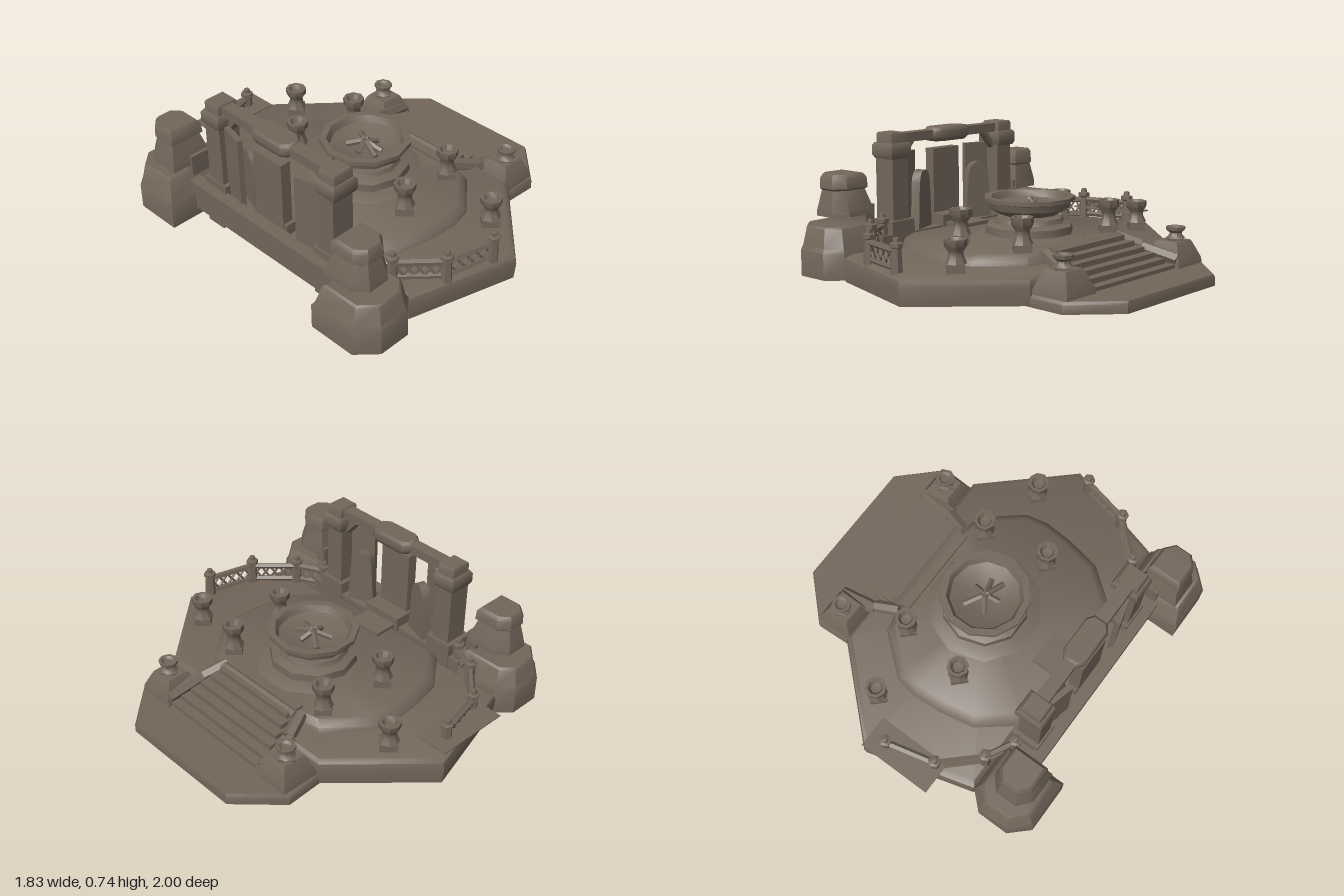
import * as THREE from 'three';
import { toCreasedNormals } from 'three/addons/utils/BufferGeometryUtils.js';

const stone = new THREE.MeshStandardMaterial({ color: 0x73665a });
stone.name = 'brown stone';

export function createModel() {
  const root = new THREE.Group();
  root.name = 'firePlaza';

  function add(name, geo, x = 0, y = 0, z = 0, rx = 0, ry = 0, rz = 0) {
    const m = new THREE.Mesh(toCreasedNormals(geo, 0.7), stone);
    m.name = name;
    m.position.set(x, y, z);
    m.rotation.set(rx, ry, rz);
    root.add(m);
    return m;
  }
  const box = (name, w, h, d, x, y, z, rx, ry, rz) =>
    add(name, new THREE.BoxGeometry(w, h, d), x, y, z, rx, ry, rz);

  // Stacks scaled copies of an [x, z] outline at [height, scale] levels, and caps both ends
  function loft(name, outline, levels) {
    let area = 0;
    outline.forEach(([x, z], i) => {
      const [x2, z2] = outline[(i + 1) % outline.length];
      area += x * z2 - x2 * z;
    });
    const o = area > 0 ? [...outline].reverse() : outline;
    const n = o.length;
    const cx = o.reduce((s, p) => s + p[0], 0) / n;
    const cz = o.reduce((s, p) => s + p[1], 0) / n;
    const pos = [], idx = [];
    for (const [y, s] of levels)
      for (const [x, z] of o) pos.push(cx + (x - cx) * s, y, cz + (z - cz) * s);
    const last = (levels.length - 1) * n, c = levels.length * n;
    pos.push(cx, levels[0][0], cz, cx, levels[levels.length - 1][0], cz);
    for (let i = 0; i < n; i++) {
      const j = (i + 1) % n;
      for (let k = 0; k < last; k += n)
        idx.push(k + i, k + j, k + n + j, k + i, k + n + j, k + n + i);
      idx.push(c, j, i, c + 1, last + i, last + j);
    }
    const g = new THREE.BufferGeometry();
    g.setAttribute('position', new THREE.Float32BufferAttribute(pos, 3));
    g.setIndex(idx);
    return add(name, g);
  }
  // Completes a half outline by mirroring it across z = 0
  const mirrored = half => [...half, ...half.map(([x, z]) => [x, -z]).reverse()];
  const lathe = (pts, sides) =>
    new THREE.LatheGeometry(pts.map(p => new THREE.Vector2(...p)), sides);
  // Bar between two points
  function bar(name, a, b, r, sides = 5) {
    const va = new THREE.Vector3(...a), vb = new THREE.Vector3(...b);
    const dir = vb.clone().sub(va);
    const m = add(name, new THREE.CylinderGeometry(r, r, dir.length(), sides));
    m.position.copy(va).add(vb).multiplyScalar(0.5);
    m.quaternion.setFromUnitVectors(new THREE.Vector3(0, 1, 0), dir.normalize());
  }

  // Terraces
  loft('basePlatform', mirrored([[0.49, 0.58], [0.035, 1], [-0.56, 0.83]]),
    [[0.005, 0.99], [0.1, 1], [0.13, 0.99], [0.147, 0.955]]);
  loft('middleTerrace', mirrored([[0.36, 0.27], [0.33, 0.41], [0.12, 0.585], [0, 0.61], [-0.16, 0.6], [-0.36, 0.56], [-0.56, 0.4]]),
    [[0.14, 1.02], [0.17, 1], [0.2, 0.93]]);
  add('innerTerrace', lathe([[0, 0.15], [0.34, 0.19], [0.27, 0.22], [0, 0.22]], 10), -0.02, 0, 0);
  box('rearSheet', 0.42, 0.006, 0.18, -0.17, 0.205, -0.91);

  // Front landing and stairs
  loft('frontLanding', mirrored([[0.91, 0.37], [0.69, 0.585], [0.4, 0.57]]),
    [[0, 1], [0.045, 1], [0.06, 0.98]]);
  for (let i = 0; i < 6; i++) {
    const h = 0.08 + i * 0.027, end = 0.68 - i * 0.053;
    box('stairStep', end - 0.3, h - 0.01, 0.7 - i * 0.035, (end + 0.3) / 2, (h + 0.01) / 2, 0);
  }

  // Central pedestal and fire bowl
  add('bowlPedestal', lathe([[0, 0.2], [0.24, 0.2], [0.235, 0.26], [0.19, 0.275],
    [0.18, 0.3], [0.12, 0.31], [0.12, 0.34], [0, 0.34]], 10), -0.02, 0, 0);
  add('fireBowl', lathe([[0, 0.315], [0.15, 0.315], [0.215, 0.35], [0.225, 0.385], [0.245, 0.39], [0.245, 0.412],
    [0.208, 0.412], [0.19, 0.375], [0.11, 0.348], [0, 0.34]], 11), -0.02, 0, 0);
  [0.2, 1.3, 1.9, 2.9, 4.1, 5.3].forEach((a, i) => {
    const r = 0.08 + 0.02 * (i % 3);
    bar('log', [-0.02 + Math.cos(a) * r, 0.355, Math.sin(a) * r],
      [-0.02 - Math.cos(a) * 0.02, 0.395, -Math.sin(a) * 0.02], 0.016);
  });

  // Small bowl on a waisted stand with a diamond-set foot
  function brazier(x, z, y0, y1, r = 0.056) {
    const h = y1 - y0;
    add('brazierFoot', new THREE.BoxGeometry(r * 1.65, h * 0.3, r * 1.65), x, y0 + h * 0.15, z, 0, Math.PI / 4);
    add('brazier', lathe([[0, h * 0.2], [r, h * 0.3], [r * 0.7, h * 0.5], [r * 0.65, h * 0.64],
      [r, h * 0.8], [r * 1.05, h], [r * 0.75, h], [r * 0.5, h * 0.86], [0, h * 0.84]], 8), x, y0, z);
  }

  for (const s of [1, -1]) {
    brazier(-0.14, s * 0.4, 0.19, 0.38);
    brazier(0.24, s * 0.35, 0.18, 0.375);
    brazier(0.15, s * 0.73, 0.14, 0.31);

    // Stair side walls and landing pedestals
    bar('stairCheek', [0.34, 0.195, s * 0.29], [0.47, 0.15, s * 0.34], 0.035, 6);
    bar('stairCheek', [0.46, 0.145, s * 0.35], [0.68, 0.1, s * 0.375], 0.035, 6);
    bar('terraceKerb', [0.37, 0.195, 0], [0.37, 0.195, s * 0.28], 0.03, 6);
    loft('landingPedestal', [[0.49, s * 0.35], [0.7, s * 0.35], [0.7, s * 0.56], [0.49, s * 0.56]],
      [[0.04, 1.05], [0.09, 1], [0.17, 0.68], [0.185, 0.6]]);
    brazier(0.6, s * 0.465, 0.17, 0.255, 0.05);

    // Corner tower: heavy foot, short neck and tapered head
    const foot = [[-0.92, 0.53], [-0.92, 0.8], [-0.82, 0.895], [-0.64, 0.895], [-0.56, 0.82], [-0.56, 0.53]]
      .map(([x, z]) => [x, z * s]);
    loft('towerFoot', foot, [[0.01, 1], [0.15, 1], [0.172, 0.93], [0.27, 0.8], [0.28, 0.74]]);
    box('towerNeck', 0.12, 0.12, 0.06, -0.69, 0.31, s * 0.58);
    const head = [[-0.86, 0.56], [-0.86, 0.73], [-0.8, 0.8], [-0.68, 0.8], [-0.62, 0.73], [-0.62, 0.56]]
      .map(([x, z]) => [x, z * s]);
    loft('towerHead', head, [[0.32, 1], [0.35, 0.98], [0.455, 0.74], [0.465, 0.83], [0.52, 0.8], [0.54, 0.68]]);

    // Gate pillar with collar and cap
    box('pillarFoot', 0.16, 0.14, 0.16, -0.635, 0.2, s * 0.41);
    box('pillarShaft', 0.13, 0.42, 0.11, -0.64, 0.41, s * 0.41);
    const cap = [[-0.71, 0.35], [-0.56, 0.35], [-0.56, 0.48], [-0.71, 0.48]].map(([x, z]) => [x, z * s]);
    loft('pillarCollar', cap, [[0.6, 0.9], [0.62, 1.05], [0.67, 1.05], [0.685, 0.92]]);
    loft('pillarCap', cap, [[0.67, 0.8], [0.73, 0.8], [0.74, 0.72]]);
    bar('beamBrace', [-0.63, 0.6, s * 0.36], [-0.63, 0.69, s * 0.28], 0.025, 6);

    // Upright slab and leaning rounded stone beside the centre
    box('sideSlab', 0.03, 0.44, 0.15, -0.68, 0.4, s * 0.275, 0, s * 0.25);
    const arch = new THREE.Shape();
    arch.moveTo(-0.08, 0);
    arch.lineTo(0.08, 0);
    arch.lineTo(0.062, 0.26);
    arch.quadraticCurveTo(0.05, 0.33, 0, 0.33);
    arch.quadraticCurveTo(-0.05, 0.33, -0.062, 0.26);
    add('leaningStone', new THREE.ExtrudeGeometry(arch, { depth: 0.05, bevelEnabled: false, curveSegments: 4 }),
      -0.64, 0.19, s * 0.23, 0, Math.PI / 2 + s * 0.35);

    // Fence: posts with caps, two rails and crossed slats
    const posts = [[-0.6, 0.52], [-0.52, 0.675], [-0.33, 0.855], [-0.06, 0.92]];
    posts.forEach(([x, z], i) => {
      add('fencePost', lathe([[0, 0], [0.032, 0], [0.026, 0.13], [0.034, 0.135], [0.034, 0.155],
        [0.018, 0.16], [0.016, 0.18], [0, 0.185]], 6), x, 0.135, z * s);
      if (i === 3) return;
      const [x2, z2] = posts[i + 1];
      const at = (t, y) => [x + (x2 - x) * t, y, (z + (z2 - z) * t) * s];
      bar('fenceRail', at(0, 0.165), at(1, 0.165), 0.016);
      bar('fenceRail', at(0, 0.25), at(1, 0.25), 0.018);
      const n = i === 0 ? 3 : 5;
      for (let k = 0; k < n; k++) {
        bar('fenceSlat', at(k / n, 0.17), at((k + 1) / n, 0.245), 0.007, 4);
        bar('fenceSlat', at(k / n, 0.245), at((k + 1) / n, 0.17), 0.007, 4);
      }
    });

    // Small footing under the back wall
    box('wallFooting', 0.18, 0.07, 0.12, -0.64, 0.035, s * 0.41);
  }

  // Back wall, gate beam and centre slab
  box('backWall', 0.2, 0.14, 1.12, -0.66, 0.13, 0);
  box('backLedge', 0.07, 0.04, 1.12, -0.735, 0.21, 0);
  box('gateBeam', 0.07, 0.05, 0.8, -0.635, 0.705, 0);
  loft('beamKeystone', mirrored([[-0.57, 0.1], [-0.6, 0.14], [-0.67, 0.14], [-0.7, 0.1]]),
    [[0.665, 0.85], [0.685, 1], [0.725, 1], [0.742, 0.88]]);
  box('centreSlab', 0.06, 0.44, 0.2, -0.67, 0.4, 0);
  box('centreSlabFoot', 0.15, 0.08, 0.24, -0.62, 0.22, 0);
  box('centreStep', 0.16, 0.04, 0.2, -0.49, 0.2, 0);

  return root;
}
